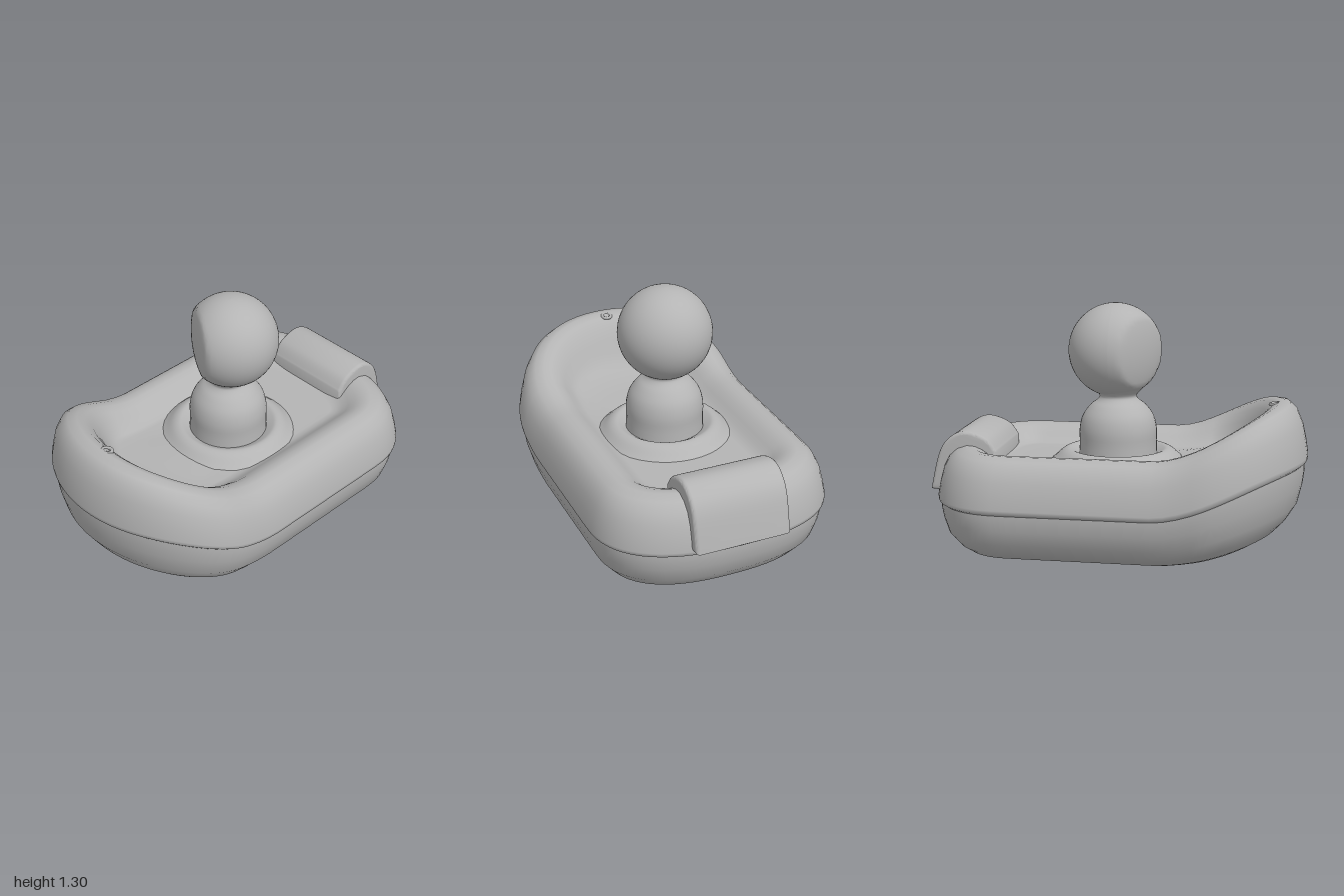
import * as THREE from 'three';
import { mergeVertices, toCreasedNormals } from 'three/addons/utils/BufferGeometryUtils.js';

const BOW_Z = 0.45, STERN_Z = -0.5, ARC = 32, SIDE = 14;

// Outline stations: angle round the end arcs and the z the arc starts from
const stations = [];
for (let i = 0; i < ARC; i++) stations.push([(i / ARC) * Math.PI, BOW_Z]);
for (let i = 0; i < SIDE; i++) stations.push([Math.PI, THREE.MathUtils.lerp(BOW_Z, STERN_Z, i / SIDE)]);
for (let i = 0; i < ARC; i++) stations.push([Math.PI * (1 + i / ARC), STERN_Z]);
for (let i = 0; i < SIDE; i++) stations.push([Math.PI * 2, THREE.MathUtils.lerp(STERN_Z, BOW_Z, i / SIDE)]);

// Upward sweep of the bow along z
const bowLift = (z) => 0.265 * THREE.MathUtils.smoothstep(z, 0.23, 0.98);

// Point on the deck outline, moved inward by inset: elliptical bow, squarer stern
function outline([angle, startZ], inset) {
  const c = Math.cos(angle), s = Math.abs(Math.sin(angle)) < 1e-6 ? 0 : Math.sin(angle);
  const power = s > 0 ? 1 : 2 / 2.5;
  const x = Math.sign(c) * Math.pow(Math.abs(c), power) * (0.65 - inset);
  const z = s >= 0
    ? startZ + s * (0.55 - inset)
    : startZ - Math.pow(-s, power) * (0.47 - inset);
  return [x, z];
}

// Rings: inset, height, share of the bow lift, scale towards the middle
function loftHull(rings) {
  const positions = [], index = [], n = stations.length;
  rings.forEach(([inset, y, lift, scale = 1], j) => {
    stations.forEach((station, i) => {
      const [x, z] = outline(station, inset);
      positions.push(x * scale, y + lift * bowLift(z * scale), z * scale);
      if (j === rings.length - 1) return;
      const a = j * n + i, b = j * n + (i + 1) % n;
      index.push(a, a + n, b, b, a + n, b + n);
    });
  });
  const geometry = new THREE.BufferGeometry();
  geometry.setAttribute('position', new THREE.Float32BufferAttribute(positions, 3));
  geometry.setIndex(index);
  geometry.computeVertexNormals();
  return geometry;
}

// Smooth lathe through a few radius/height points
function lathe(points) {
  const curve = new THREE.SplineCurve(points.map(([r, y]) => new THREE.Vector2(r, y)));
  return new THREE.LatheGeometry(curve.getPoints(24), 40);
}

// Ball with a softly flattened face on one side
function headGeometry() {
  const geometry = new THREE.SphereGeometry(0.252, 48, 32);
  const normal = new THREE.Vector3(-0.5, 0, 0.866);
  const p = geometry.attributes.position, v = new THREE.Vector3();
  for (let i = 0; i < p.count; i++) {
    v.fromBufferAttribute(p, i);
    const over = v.dot(normal) - 0.17;
    if (over > 0) v.addScaledVector(normal, -0.65 * over);
    p.setXYZ(i, v.x, v.y, v.z);
  }
  geometry.computeVertexNormals();
  return geometry;
}

// Rounded stern block: a side profile (z, y) extruded across the boat
function sternGeometry() {
  const shape = new THREE.Shape();
  shape.moveTo(-0.65, 0.4);
  shape.lineTo(-0.65, 0.52);
  shape.splineThru([[-0.7, 0.58], [-0.8, 0.612], [-0.88, 0.58], [-0.935, 0.5], [-0.978, 0.325]]
    .map(([z, y]) => new THREE.Vector2(z, y)));
  shape.lineTo(-0.9, 0.32);
  shape.closePath();
  const geometry = new THREE.ExtrudeGeometry(shape, {
    depth: 0.48, bevelSize: 0.018, bevelThickness: 0.02, bevelSegments: 3, curveSegments: 8,
  });
  geometry.translate(0, 0, -0.24);
  geometry.rotateY(-Math.PI / 2);
  geometry.deleteAttribute('normal');
  geometry.deleteAttribute('uv');
  return toCreasedNormals(mergeVertices(geometry), 0.7);
}

export function createModel() {
  const group = new THREE.Group();
  const grey = new THREE.MeshStandardMaterial({ color: 0xb4b4b4 });
  grey.name = 'grey';
  const add = (name, geometry, x = 0, y = 0, z = 0) => {
    const mesh = new THREE.Mesh(geometry, grey);
    mesh.name = name;
    mesh.position.set(x, y, z);
    group.add(mesh);
    return mesh;
  };

  // Lower hull, from the middle of the bottom up to the seam
  add('lowerHull', loftHull([
    [0.2, 0, 0.45, 0], [0.2, 0, 0.45, 0.3], [0.2, 0, 0.45, 0.5], [0.2, 0, 0.45, 0.7],
    [0.2, 0, 0.45, 0.85], [0.2, 0, 0.45], [0.15, 0.015, 0.48], [0.1, 0.05, 0.52],
    [0.05, 0.11, 0.58], [0.025, 0.19, 0.67], [0.015, 0.25, 0.75], [0.016, 0.29, 0.79],
  ]));

  // Upper tube with its seam lip, and the sunken floor inside
  add('upperTube', loftHull([
    [0.016, 0.275, 0.78], [0.002, 0.285, 0.79], [0.0, 0.305, 0.8], [0.012, 0.37, 0.85],
    [0.03, 0.44, 0.9], [0.06, 0.5, 0.95], [0.1, 0.537, 0.98], [0.15, 0.555, 1],
    [0.19, 0.552, 1], [0.23, 0.535, 0.95], [0.265, 0.508, 0.82], [0.295, 0.482, 0.65],
    [0.33, 0.463, 0.45], [0.36, 0.46, 0.35], [0.36, 0.46, 0.35, 0.7], [0.36, 0.46, 0.35, 0],
  ]));

  add('sternBlock', sternGeometry());

  // Raised collar on the floor around the figure
  add('floorCollar', lathe([
    [0.37, 0.45], [0.34, 0.475], [0.3, 0.51], [0.265, 0.522], [0.235, 0.51], [0.19, 0.48],
  ]), 0, 0, -0.02);

  // Figure
  add('body', lathe([
    [0.212, 0.46], [0.208, 0.55], [0.208, 0.63], [0.19, 0.7], [0.15, 0.755],
    [0.112, 0.785], [0.1, 0.81], [0.13, 0.845],
  ]), 0, 0, -0.02);
  add('head', headGeometry(), 0.005, 1.052, -0.035);

  // Small eyelet on the bow
  const eyelet = add('bowEyelet', new THREE.TorusGeometry(0.025, 0.009, 8, 20), 0, 0.785, 0.82);
  eyelet.rotation.x = Math.PI / 2 - 0.15;

  return group;
}
